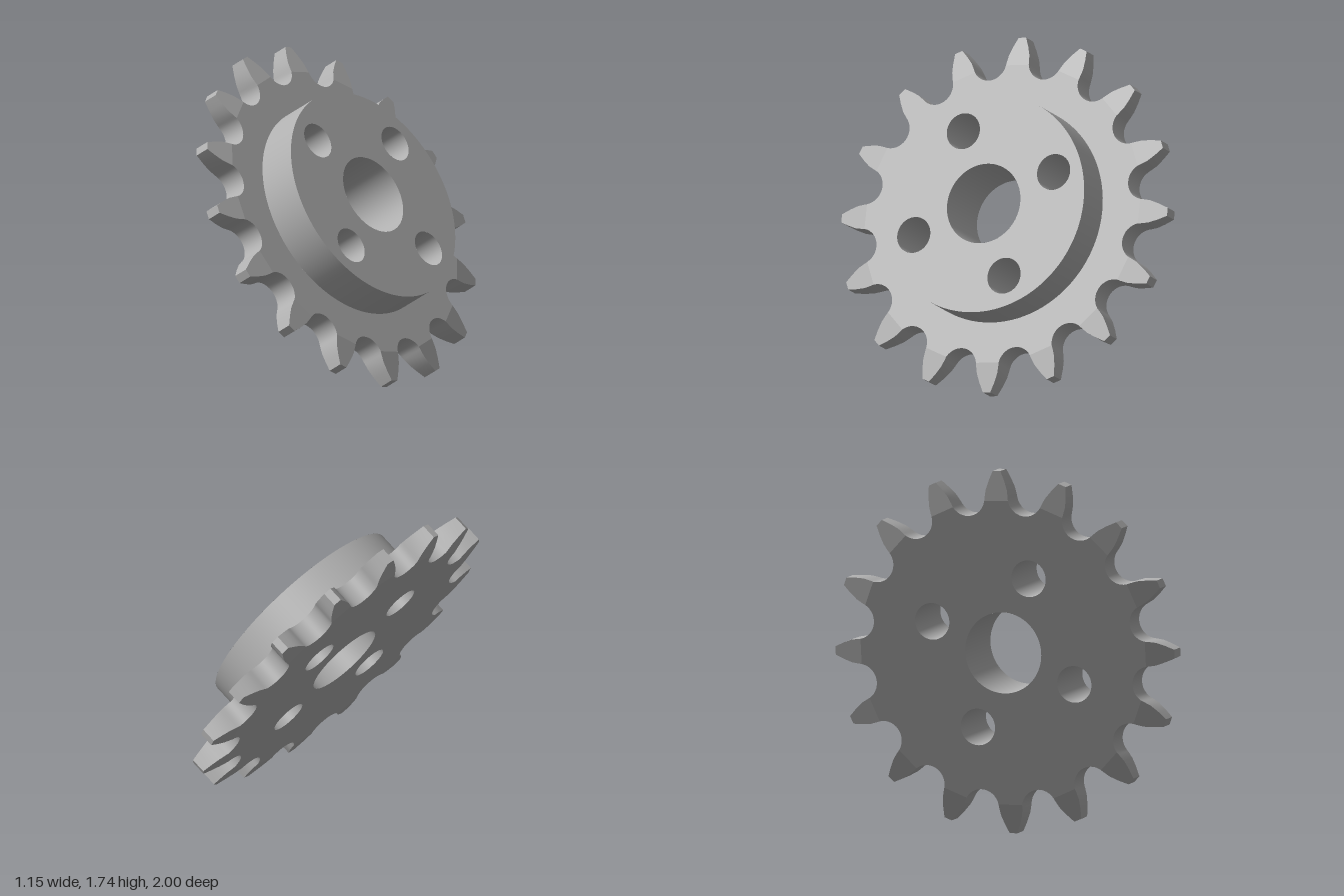
import * as THREE from 'three';
import { toCreasedNormals } from 'three/addons/utils/BufferGeometryUtils.js';

const TEETH = 16, TIP_R = 1.008, HALF = 0.07, TIP_HALF = 0.043;
const HUB_R = 0.618, HUB_Z = 0.3, BORE_R = 0.226, HOLE_R = 0.102, HOLE_RING = 0.448;
const SEG = 96, CREASE = 7;
const STEP = (Math.PI * 2) / TEETH;

// Half tooth pointing along +x: gullet arc, then a slightly convex flank up to the tip
function halfTooth() {
  const pts = [];
  const a0 = Math.PI + STEP / 2, a1 = Math.PI * 1.5;
  const cx = 0.88 * Math.cos(STEP / 2), cy = 0.88 * Math.sin(STEP / 2);
  for (let i = 0; i <= 8; i++) {
    const a = a0 + ((a1 - a0) * i) / 8;
    pts.push(new THREE.Vector2(cx + 0.103 * Math.cos(a), cy + 0.103 * Math.sin(a)));
  }
  pts.push(new THREE.Vector2(0.905, 0.063), new THREE.Vector2(0.955, 0.046), new THREE.Vector2(TIP_R, 0.023));
  // half thickness: full up to the crease, tapering to the tip
  const x0 = pts[CREASE].x;
  return pts.map(p => ({
    x: p.x, y: p.y,
    h: HALF + (TIP_HALF - HALF) * Math.max(0, (p.x - x0) / (TIP_R - x0)),
  }));
}

const spin = (p, side, k) => {
  const c = Math.cos(k * STEP), s = Math.sin(k * STEP), y = p.y * side;
  return { x: p.x * c - y * s, y: p.x * s + y * c, h: p.h };
};

// Closed outline of all teeth, counter-clockwise
function outline(half) {
  const out = [];
  for (let k = 0; k < TEETH; k++) {
    half.forEach(p => out.push(spin(p, -1, k)));
    half.slice(1).reverse().forEach(p => out.push(spin(p, 1, k)));
  }
  return out;
}

function quads(list) {
  const pos = [];
  for (const [a, b, c, d] of list) pos.push(...a, ...b, ...c, ...a, ...c, ...d);
  const g = new THREE.BufferGeometry();
  g.setAttribute('position', new THREE.Float32BufferAttribute(pos, 3));
  g.computeVertexNormals();
  return g;
}

const circle = (r, x = 0, y = 0) => new THREE.Path().absarc(x, y, r, 0, Math.PI * 2, true);

export function createModel() {
  const steel = new THREE.MeshStandardMaterial({ color: 0xb0b0b0, side: THREE.DoubleSide });
  steel.name = 'steel grey';
  const sprocket = new THREE.Group();
  sprocket.name = 'sprocket';
  const add = (name, geo) => {
    const m = new THREE.Mesh(geo, steel);
    m.name = name;
    sprocket.add(m);
  };
  const half = halfTooth();

  // Bore and four bolt holes
  const holes = [[BORE_R, 0, 0]];
  for (let i = 0; i < 4; i++) {
    const a = (i * Math.PI) / 2;
    holes.push([HOLE_R, HOLE_RING * Math.cos(a), HOLE_RING * Math.sin(a)]);
  }
  const holePaths = () => holes.map(h => circle(...h));

  // Flat plate faces inside the tooth bevels
  const plate = paths => {
    const s = new THREE.Shape(outline(half.slice(0, CREASE + 1)).map(p => new THREE.Vector2(p.x, p.y)));
    s.holes = paths;
    return new THREE.ShapeGeometry(s, SEG);
  };
  add('plateFront', plate([circle(HUB_R)]).translate(0, 0, HALF));
  add('plateBack', plate(holePaths()).rotateX(Math.PI).translate(0, 0, -HALF));

  // Rim wall following the teeth
  const rim = outline(half), wall = [];
  rim.forEach((a, i) => {
    const b = rim[(i + 1) % rim.length];
    if (Math.hypot(a.x - b.x, a.y - b.y) < 1e-6) return;
    wall.push([[a.x, a.y, -a.h], [b.x, b.y, -b.h], [b.x, b.y, b.h], [a.x, a.y, a.h]]);
  });
  add('toothWalls', toCreasedNormals(quads(wall), 0.45));

  // Bevels on both sides of each tooth
  const bevels = [];
  for (let k = 0; k < TEETH; k++) {
    for (let i = CREASE; i < half.length - 1; i++) {
      const ring = [spin(half[i], -1, k), spin(half[i + 1], -1, k), spin(half[i + 1], 1, k), spin(half[i], 1, k)];
      bevels.push(ring.map(p => [p.x, p.y, p.h]));
      bevels.push(ring.map(p => [p.x, p.y, -p.h]).reverse());
    }
  }
  add('toothBevels', quads(bevels));

  // Hub
  const tube = (r, z0, z1) => new THREE.CylinderGeometry(r, r, z1 - z0, SEG, 1, true)
    .rotateX(Math.PI / 2).translate(0, 0, (z0 + z1) / 2);
  const face = new THREE.Shape().absarc(0, 0, HUB_R, 0, Math.PI * 2, false);
  face.holes = holePaths();
  add('hubFace', new THREE.ShapeGeometry(face, SEG).translate(0, 0, HUB_Z));
  add('hubWall', tube(HUB_R, HALF, HUB_Z));

  // Hole walls run through hub and plate
  holes.forEach(([r, x, y], i) =>
    add(i ? 'boltHole' + i : 'bore', tube(r, -HALF, HUB_Z).translate(x, y, 0)));

  // Tilt the axis
  sprocket.rotation.z = THREE.MathUtils.degToRad(30.8);
  const axis = new THREE.Vector3(0.85, 0.52, 0.088).normalize();
  const up = new THREE.Vector3(-axis.y, axis.x, 0).normalize();
  const tilt = new THREE.Group();
  tilt.name = 'tiltedSprocket';
  tilt.add(sprocket);
  tilt.quaternion.setFromRotationMatrix(
    new THREE.Matrix4().makeBasis(up, new THREE.Vector3().crossVectors(axis, up), axis));
  tilt.position.y = 0.87;

  const model = new THREE.Group();
  model.name = 'model';
  model.add(tilt);
  return model;
}
